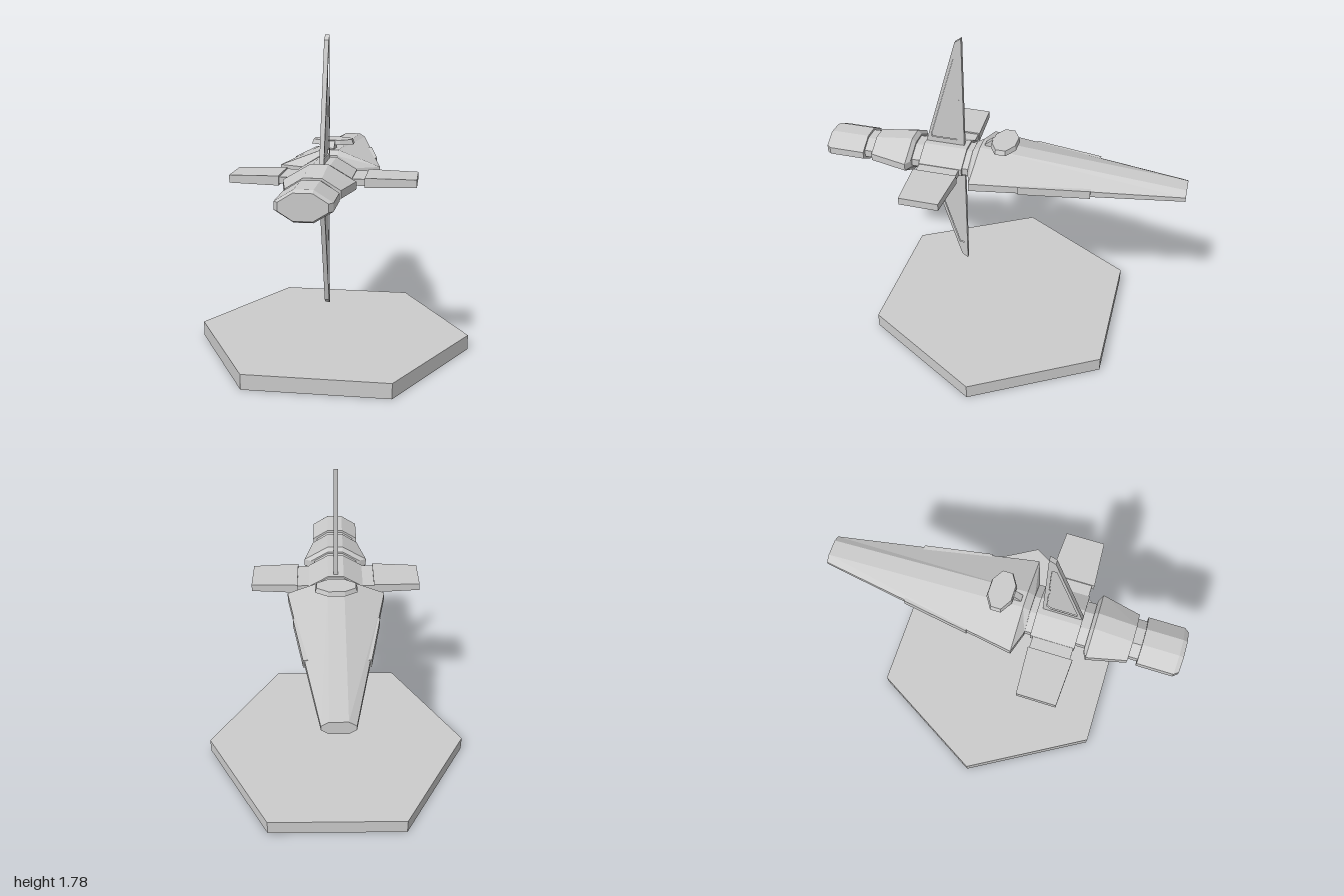
import * as THREE from 'three';

const AXIS = 1.055; // height of the ship's centre line
const material = new THREE.MeshStandardMaterial({ color: 0xcccccc, flatShading: true });

function mesh(geometry, name) {
  const m = new THREE.Mesh(geometry, material);
  m.name = name;
  return m;
}

// Loft of long octagons along z; each section is [z, halfWidth, halfHeight, halfSide]
function loft(sections, flatTop = 0.045) {
  const rings = sections.map(([z, a, h, s = 0.02]) =>
    [[a, -s], [a, s], [flatTop, h], [-flatTop, h], [-a, s], [-a, -s], [-flatTop, -h], [flatTop, -h]]
      .map(([x, y]) => [x, y, z]));
  const pos = [];
  const tri = (...points) => points.forEach((p) => pos.push(...p));
  for (let k = 0; k < rings.length - 1; k++) {
    const a = rings[k], b = rings[k + 1];
    for (let i = 0; i < 8; i++) {
      const j = (i + 1) % 8;
      tri(a[i], a[j], b[j]);
      tri(a[i], b[j], b[i]);
    }
  }
  const first = rings[0], last = rings[rings.length - 1];
  for (let i = 1; i < 7; i++) {
    tri(first[0], first[i + 1], first[i]);
    tri(last[0], last[i], last[i + 1]);
  }
  const g = new THREE.BufferGeometry();
  g.setAttribute('position', new THREE.Float32BufferAttribute(pos, 3));
  g.computeVertexNormals();
  return g;
}

// Extrudes a [z, y] outline to a plate centred on x = 0
function sidePlate(outline, thickness, hole) {
  const toPoints = (list) => list.map(([z, y]) => new THREE.Vector2(-z, y));
  const shape = new THREE.Shape(toPoints(outline));
  if (hole) shape.holes.push(new THREE.Path(toPoints(hole)));
  const g = new THREE.ExtrudeGeometry(shape, { depth: thickness, bevelEnabled: false });
  return g.translate(0, 0, -thickness / 2).rotateY(Math.PI / 2);
}

// Tall fin: a raised frame around a thinner web
function makeFin(name) {
  const outline = [[0.44, 0.08], [0.255, 0.7], [0.22, 0.725], [0.22, 0.08]];
  const inset = [[0.405, 0.115], [0.405, 0.14], [0.265, 0.61], [0.24, 0.61], [0.24, 0.14], [0.26, 0.115]];
  const fin = new THREE.Group();
  fin.name = name;
  fin.add(mesh(sidePlate(outline, 0.024, inset), 'finFrame'));
  fin.add(mesh(sidePlate(inset, 0.014), 'finWeb'));
  const latch = mesh(new THREE.BoxGeometry(0.02, 0.06, 0.006), 'finLatch');
  latch.position.set(0, 0.335, 0.242);
  fin.add(latch);
  return fin;
}

// Flat side wing with a root block
function makeWing(side) {
  const wing = new THREE.Group();
  wing.name = side > 0 ? 'leftWing' : 'rightWing';
  const root = mesh(new THREE.BoxGeometry(0.12, 0.034, 0.225), 'wingRoot');
  root.position.set(side * 0.17, 0, 0.322);
  const panel = new THREE.BoxGeometry(0.262, 0.05, 0.246);
  const p = panel.attributes.position;
  for (let i = 0; i < p.count; i++) {
    if (p.getX(i) * side > 0) {
      p.setY(i, p.getY(i) * 0.8);
      p.setZ(i, p.getZ(i) * 0.88);
    }
  }
  panel.computeVertexNormals();
  const slab = mesh(panel, 'wingPanel');
  slab.position.set(side * 0.351, 0, 0.325);
  wing.add(root, slab);
  return wing;
}

export function createModel() {
  const model = new THREE.Group();
  model.name = 'shipOnBase';

  // Hexagonal display base
  const base = mesh(new THREE.CylinderGeometry(0.78, 0.78, 0.085, 6).rotateY(Math.PI / 6), 'base');
  base.position.y = 0.0425;
  model.add(base);

  const ship = new THREE.Group();
  ship.name = 'ship';
  ship.position.y = AXIS;
  model.add(ship);

  // Fuselage modules, from the long hull to the opposite end
  const modules = {
    mainHull: [[-1, 0.082, 0.035, 0.012], [0.12, 0.272, 0.11, 0.022], [0.16, 0.15, 0.085]],
    hullCollar: [[0.14, 0.14, 0.075], [0.21, 0.14, 0.075]],
    wingModule: [[0.195, 0.155, 0.085], [0.44, 0.155, 0.085]],
    middleCollar: [[0.42, 0.125, 0.07], [0.51, 0.125, 0.07]],
    taperedModule: [[0.49, 0.145, 0.08], [0.51, 0.185, 0.103], [0.725, 0.135, 0.076]],
    endCollar: [[0.71, 0.11, 0.063], [0.79, 0.11, 0.063]],
    endModule: [[0.775, 0.135, 0.076], [0.975, 0.135, 0.076], [1, 0.115, 0.064]],
  };
  for (const [name, sections] of Object.entries(modules)) ship.add(mesh(loft(sections), name));

  // Raised strips along both hull edges
  for (const side of [-1, 1]) {
    const shape = new THREE.Shape([[0.13, 0.14], [0.235, 0.14], [0.172, 0.515], [0.1, 0.515]]
      .map(([x, y]) => new THREE.Vector2(side * x, y)));
    const g = new THREE.ExtrudeGeometry(shape, { depth: 0.046, bevelEnabled: false });
    g.translate(0, 0, -0.023).rotateX(-Math.PI / 2);
    ship.add(mesh(g, side > 0 ? 'leftHullStrip' : 'rightHullStrip'));
    ship.add(makeWing(side));
  }

  // Upper and lower fins
  const lower = makeFin('lowerFin');
  lower.rotation.z = Math.PI;
  ship.add(makeFin('upperFin'), lower);

  // Sensor dish on its stalk
  const dish = new THREE.Group();
  dish.name = 'sensorDish';
  const plate = mesh(new THREE.CylinderGeometry(0.92, 1, 0.026, 8).rotateY(Math.PI / 8), 'dishPlate');
  plate.scale.set(0.125, 1, 0.076);
  plate.position.set(0, 0.139, -0.012);
  dish.add(plate);
  dish.add(mesh(sidePlate([[0.1, 0.095], [0.1, 0.115], [0.06, 0.148], [0.03, 0.148], [-0.03, 0.127], [-0.03, 0.085]], 0.036), 'dishStalk'));
  ship.add(dish);

  return model;
}
